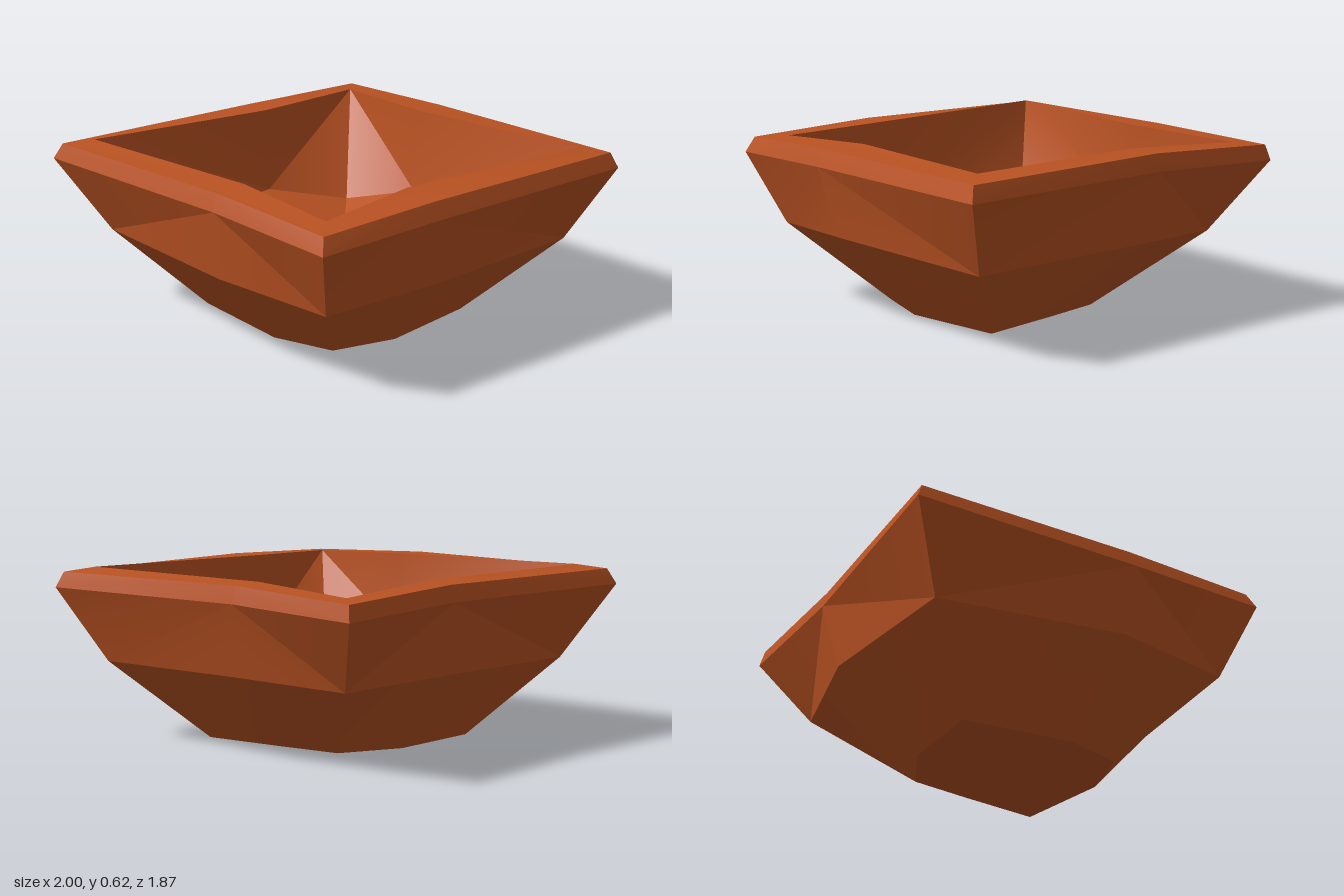
import * as THREE from 'three';
import { toCreasedNormals } from 'three/addons/utils/BufferGeometryUtils.js';

// Each ring has eight [x, y, z] points: +x corner, then round by way of +z.
const point = (x, y, z) => Array.from({ length: 8 }, () => [x, y, z]);
const baseRing = [
  [0.46, 0, 0], [0.23, 0, 0.295], [0.02, 0, 0.41], [-0.19, 0, 0.305],
  [-0.46, 0, 0], [-0.21, 0, -0.235], [0.02, 0, -0.31], [0.21, 0, -0.18],
];
const bellyRing = [
  [0.82, 0.28, 0], [0.37, 0.3, 0.53], [0.02, 0.28, 0.79], [-0.35, 0.3, 0.53],
  [-0.8, 0.28, 0], [-0.36, 0.3, -0.48], [0.02, 0.28, -0.72], [0.37, 0.295, -0.475],
];
const rimBottom = [
  [1, 0.545, 0], [0.37, 0.545, 0.605], [0.02, 0.535, 0.935], [-0.36, 0.55, 0.575],
  [-1, 0.545, 0], [-0.35, 0.55, -0.55], [0.02, 0.535, -0.935], [0.38, 0.55, -0.56],
];
const rimTop = [
  [0.97, 0.6, 0], [0.36, 0.605, 0.585], [0.02, 0.59, 0.9], [-0.35, 0.61, 0.555],
  [-0.965, 0.6, 0], [-0.34, 0.607, -0.54], [0.02, 0.59, -0.915], [0.37, 0.61, -0.55],
];
const rimInner = [
  [0.86, 0.617, 0], [0.27, 0.61, 0.46], [0.02, 0.597, 0.775], [-0.27, 0.612, 0.46],
  [-0.85, 0.617, 0], [-0.28, 0.61, -0.435], [0.02, 0.597, -0.8], [0.29, 0.612, -0.46],
];
const floorRing = [
  [0.69, 0.28, 0], [0.26, 0.3, 0.45], [0.02, 0.235, 0.5], [-0.26, 0.305, 0.45],
  [-0.65, 0.28, 0], [-0.27, 0.3, -0.43], [0.02, 0.235, -0.53], [0.28, 0.3, -0.44],
];

// Skins successive rings; diagonals run from corners to the next ring's midpoints.
function skin(rings, crease) {
  const pos = [];
  const same = (a, b) => a.every((v, k) => v === b[k]);
  const tri = (a, b, c) => {
    if (!same(a, b) && !same(b, c) && !same(a, c)) pos.push(...a, ...b, ...c);
  };
  for (let r = 0; r < rings.length - 1; r++) {
    const cur = rings[r], next = rings[r + 1];
    for (let i = 0; i < 8; i++) {
      const j = (i + 1) % 8;
      if (i % 2 === 0) {
        tri(cur[i], next[i], next[j]);
        tri(cur[i], next[j], cur[j]);
      } else {
        tri(cur[i], next[i], cur[j]);
        tri(next[i], next[j], cur[j]);
      }
    }
  }
  const geometry = new THREE.BufferGeometry();
  geometry.setAttribute('position', new THREE.Float32BufferAttribute(pos, 3));
  return toCreasedNormals(geometry, crease);
}

export function createModel() {
  const group = new THREE.Group();
  group.name = 'diamondBowl';
  const clay = new THREE.MeshStandardMaterial({ color: 0xb95222 });
  clay.name = 'terracotta';

  const add = (name, rings, crease = 0.5) => {
    const mesh = new THREE.Mesh(skin(rings, crease), clay);
    mesh.name = name;
    group.add(mesh);
  };
  add('foot', [point(0.01, 0, 0.04), baseRing]);
  add('outerWall', [baseRing, bellyRing, rimBottom], 0.25);
  add('rim', [rimBottom, rimTop, rimInner]);
  add('innerBasin', [rimInner, floorRing, point(0.02, 0.09, 0)]);
  return group;
}
